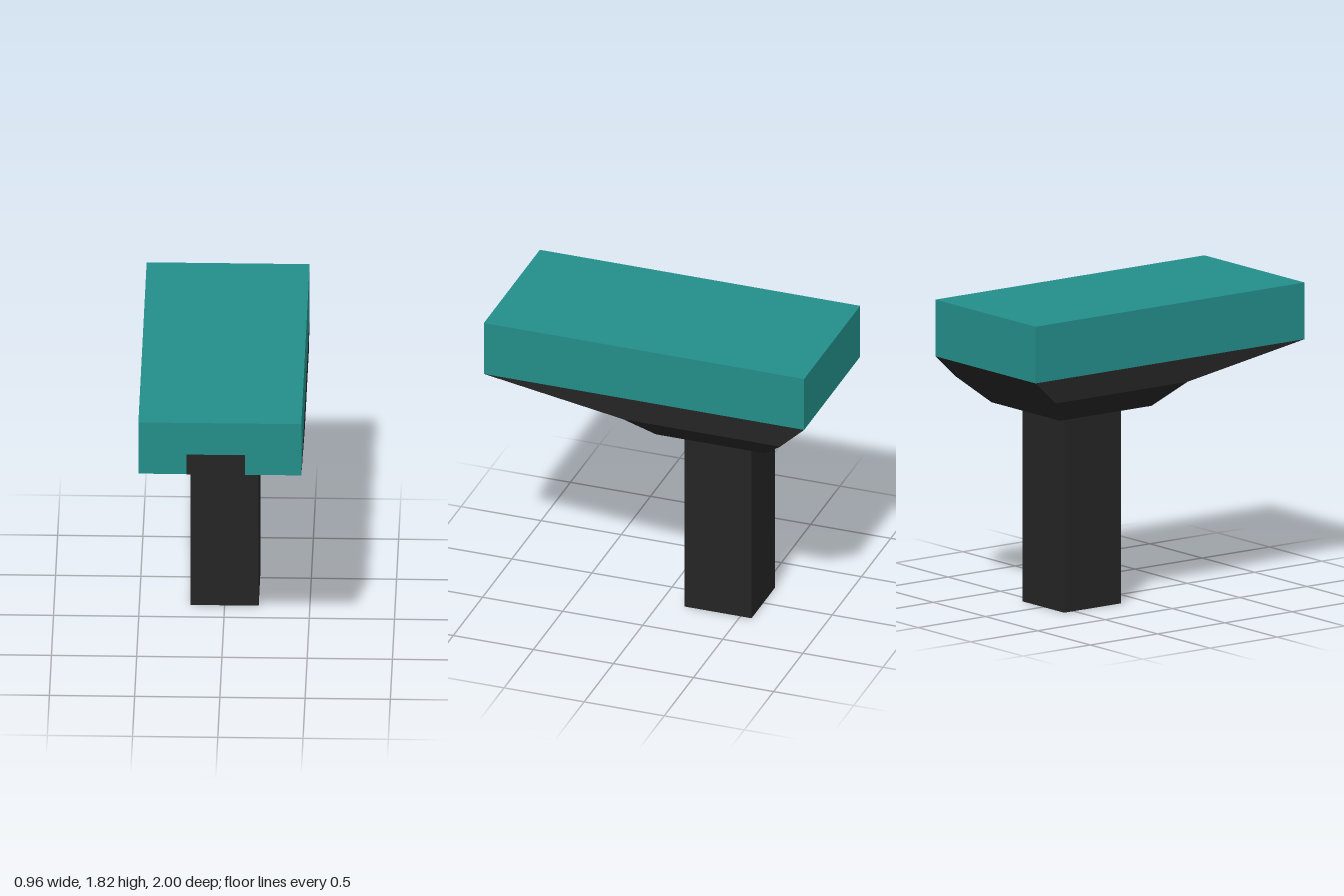
import * as THREE from 'three';

// Faceted shell lofted through rectangles, listed from top to bottom, closed below
function loftRects(rects) {
  const rings = rects.map(({ y, halfX, front, back }) => [
    [halfX, y, front], [-halfX, y, front], [-halfX, y, back], [halfX, y, back],
  ]);
  const positions = [];
  const quad = (a, b, c, d) => positions.push(...a, ...b, ...c, ...a, ...c, ...d);
  for (let i = 0; i < rings.length - 1; i++) {
    const upper = rings[i], lower = rings[i + 1];
    for (let k = 0; k < 4; k++) {
      const n = (k + 1) % 4;
      quad(upper[n], lower[n], lower[k], upper[k]);
    }
  }
  quad(...rings[rings.length - 1]);
  const geometry = new THREE.BufferGeometry();
  geometry.setAttribute('position', new THREE.Float32BufferAttribute(positions, 3));
  geometry.computeVertexNormals();
  return geometry;
}

export function createModel() {
  const group = new THREE.Group();
  const teal = new THREE.MeshStandardMaterial({ color: 0x238e89 });
  teal.name = 'teal';
  const charcoal = new THREE.MeshStandardMaterial({ color: 0x242424 });
  charcoal.name = 'charcoal';

  function add(name, geometry, material, x = 0, y = 0, z = 0) {
    const mesh = new THREE.Mesh(geometry, material);
    mesh.name = name;
    mesh.position.set(x, y, z);
    group.add(mesh);
  }

  // Upper slab
  add('slab', new THREE.BoxGeometry(0.956, 0.34, 2), teal, 0, 1.65, 0);

  // Tapered underside
  add('underside', loftRects([
    { y: 1.48, halfX: 0.478, front: 1, back: -1 },
    { y: 1.34, halfX: 0.478, front: 0.13, back: -0.85 },
    { y: 1.19, halfX: 0.327, front: -0.02, back: -0.7 },
  ]), charcoal);

  // Supporting post
  add('post', new THREE.BoxGeometry(0.4, 1.19, 0.42), charcoal, 0, 0.595, -0.36);

  // Dark panel on the front of the slab
  add('frontPanel', new THREE.BoxGeometry(0.345, 0.13, 0.004), charcoal, -0.0245, 1.545, 1);

  return group;
}
